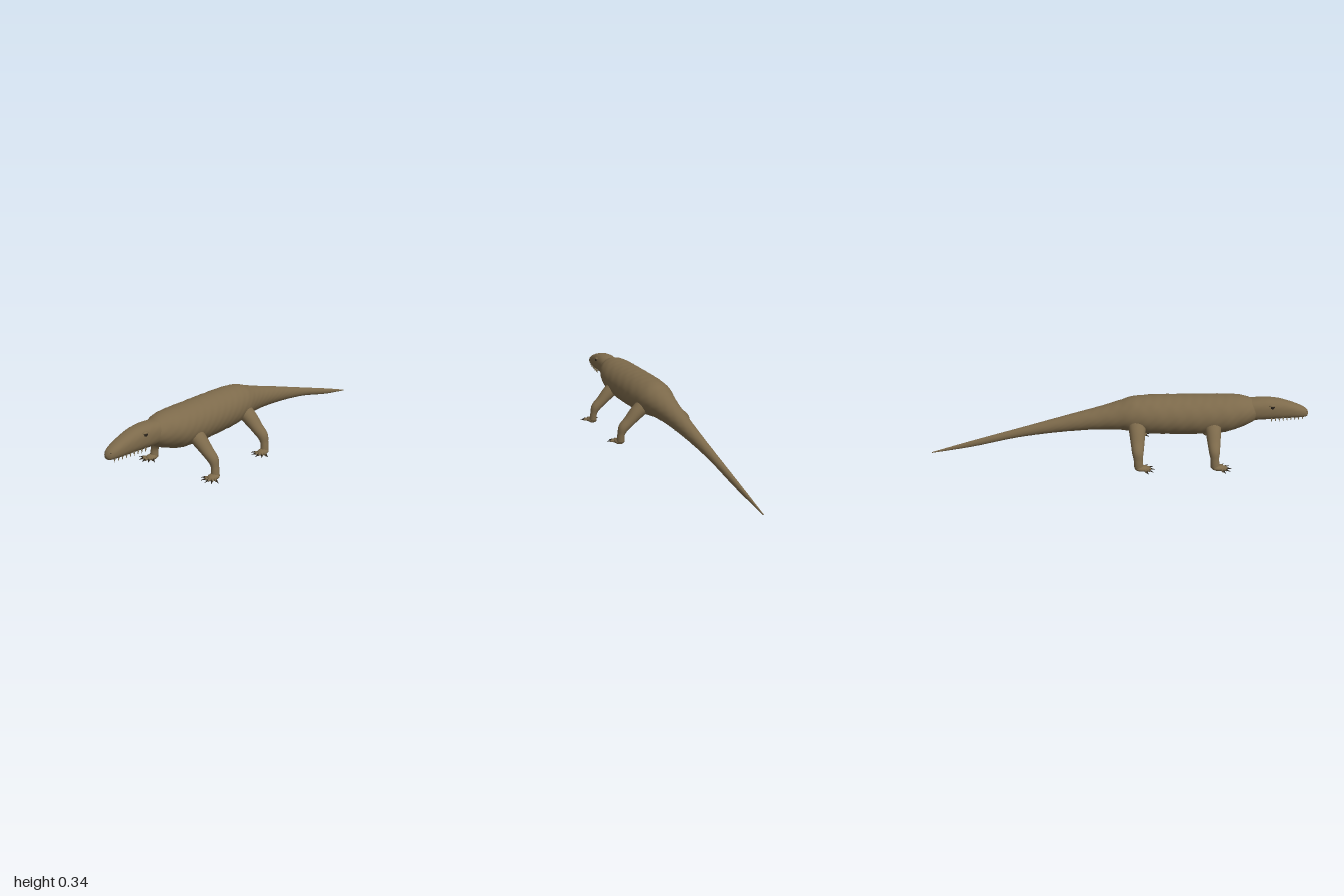
import * as THREE from 'three';

const V = (x, y, z) => new THREE.Vector3(x, y, z);

const skin = new THREE.MeshStandardMaterial({ color: 0x7d6a4b });
skin.name = 'olive brown skin';
const claw = new THREE.MeshStandardMaterial({ color: 0x28221a });
claw.name = 'dark claw';
const tooth = new THREE.MeshStandardMaterial({ color: 0x8f8163 });
tooth.name = 'dull tooth';

function add(parent, name, geometry, material) {
  const mesh = new THREE.Mesh(geometry, material);
  mesh.name = name;
  parent.add(mesh);
  return mesh;
}

// Closed skin over rings; each ring is a function of the angle, with caps at both ends
function loft(rings, sides, ends) {
  const pos = [], index = [];
  for (const ring of rings) {
    for (let j = 0; j < sides; j++) pos.push(...ring((j / sides) * Math.PI * 2).toArray());
  }
  for (let i = 0; i < rings.length - 1; i++) {
    for (let j = 0; j < sides; j++) {
      const k = (j + 1) % sides;
      const a = i * sides + j, b = i * sides + k, c = a + sides, d = b + sides;
      index.push(a, b, c, b, d, c);
    }
  }
  const first = rings.length * sides, last = first - sides;
  pos.push(...ends[0].toArray(), ...ends[1].toArray());
  for (let j = 0; j < sides; j++) {
    const k = (j + 1) % sides;
    index.push(first, k, j, first + 1, last + j, last + k);
  }
  const g = new THREE.BufferGeometry();
  g.setAttribute('position', new THREE.Float32BufferAttribute(pos, 3));
  g.setIndex(index);
  g.computeVertexNormals();
  return g;
}

// Smooth value between profile rows [z, ...values] at z (monotone-safe cubic)
function sample(rows, z, col) {
  let i = 0;
  while (i < rows.length - 2 && z > rows[i + 1][0]) i++;
  const slope = (k) => {
    if (k === 0 || k === rows.length - 1) return null;
    const l = (rows[k][col] - rows[k - 1][col]) / (rows[k][0] - rows[k - 1][0]);
    const r = (rows[k + 1][col] - rows[k][col]) / (rows[k + 1][0] - rows[k][0]);
    return l * r <= 0 ? 0 : (2 * l * r) / (l + r);
  };
  const h = rows[i + 1][0] - rows[i][0], t = (z - rows[i][0]) / h;
  const p = rows[i][col], q = rows[i + 1][col], m = (q - p) / h;
  const a = slope(i) ?? m, b = slope(i + 1) ?? m;
  return p * (1 + 2 * t) * (1 - t) ** 2 + h * a * t * (1 - t) ** 2
    + q * t * t * (3 - 2 * t) + h * b * t * t * (t - 1);
}

// Body of rows [z, top, bottom, half width]; power below 1 squares the section
function profileLoft(rows, steps, power, bump) {
  const z0 = rows[0][0], z1 = rows[rows.length - 1][0], rings = [];
  const soft = (v) => Math.sign(v) * Math.abs(v) ** power;
  const mid = (z) => (sample(rows, z, 1) + sample(rows, z, 2)) / 2;
  for (let i = 0; i <= steps; i++) {
    const z = z0 + ((z1 - z0) * i) / steps;
    const h = (sample(rows, z, 1) - sample(rows, z, 2)) / 2, w = sample(rows, z, 3);
    rings.push((a) => {
      const s = 1 + bump * Math.sin(z * 95 + 3 * Math.sin(a * 2)) * Math.sin(a * 7 + z * 23);
      return V(w * s * soft(Math.cos(a)), mid(z) + h * s * soft(Math.sin(a)), z);
    });
  }
  return loft(rings, 40, [V(0, mid(z0), z0), V(0, mid(z1), z1)]);
}

// Limb in the xy plane: rows [x, y, z, radius across, radius along z]
function limb(rows, side) {
  const path = new THREE.CatmullRomCurve3(rows.map((r) => V(r[0] * side, r[1], r[2])));
  const size = new THREE.CatmullRomCurve3(rows.map((r) => V(r[3], r[4], 0)));
  const rings = [];
  for (let i = 0; i <= 28; i++) {
    const t = i / 28, c = path.getPoint(t), r = size.getPoint(t);
    const tan = path.getTangent(t).setZ(0).normalize();
    const v = V(0, 0, 1), u = v.clone().cross(tan);
    rings.push((a) => c.clone().addScaledVector(u, r.x * Math.cos(a)).addScaledVector(v, r.y * Math.sin(a)));
  }
  return loft(rings, 20, [path.getPoint(0), path.getPoint(1)]);
}

// Tapered rod from one point to another
function rod(parent, name, from, to, r0, r1, material) {
  const d = to.clone().sub(from);
  const mesh = add(parent, name, new THREE.CylinderGeometry(r1, r0, d.length(), 8), material);
  mesh.position.copy(from).addScaledVector(d, 0.5);
  mesh.quaternion.setFromUnitVectors(V(0, 1, 0), d.normalize());
  return mesh;
}

function ball(parent, name, center, size, material) {
  const g = new THREE.SphereGeometry(1, 18, 12).scale(...size);
  const mesh = add(parent, name, g, material);
  mesh.position.copy(center);
  return mesh;
}

function leg(name, z, side, k) {
  const g = new THREE.Group();
  g.name = name;
  add(g, name + 'Limb', limb([
    [0.06, 0.205, z, 0.036 * k, 0.047 * k],
    [0.105, 0.168, z, 0.035 * k, 0.04 * k],
    [0.15, 0.125, z, 0.028 * k, 0.033 * k],
    [0.184, 0.092, z, 0.026 * k, 0.028 * k],
    [0.197, 0.055, z + 0.002, 0.018 * k, 0.022 * k],
    [0.2, 0.015, z + 0.006, 0.021, 0.024],
  ], side), skin);
  ball(g, name + 'Foot', V(0.201 * side, 0.015, z + 0.02), [0.026, 0.015, 0.036], skin);
  // Five spread toes with claws
  for (let i = -2; i <= 2; i++) {
    const a = i * 0.56;
    const at = (d, y) => V((0.205 + Math.sin(a) * d) * side, y, z + 0.028 + Math.cos(a) * d);
    rod(g, 'toe', at(0.005, 0.013), at(0.036, 0.012), 0.009, 0.006, skin);
    ball(g, 'toeTip', at(0.036, 0.012), [0.0065, 0.0065, 0.0065], skin);
    rod(g, 'claw', at(0.036, 0.014), at(0.061, 0.009), 0.005, 0.0006, claw);
  }
  return g;
}

export function createModel() {
  const model = new THREE.Group();
  model.name = 'lizard';

  // Tail and trunk in one skin
  add(model, 'bodyAndTail', profileLoft([
    [-1, 0.015, 0.01, 0.002],
    [-0.8, 0.075, 0.043, 0.011],
    [-0.5, 0.16, 0.107, 0.024],
    [-0.25, 0.231, 0.138, 0.043],
    [-0.1, 0.272, 0.148, 0.06],
    [0, 0.302, 0.149, 0.079],
    [0.08, 0.326, 0.138, 0.097],
    [0.2, 0.333, 0.126, 0.108],
    [0.4, 0.334, 0.123, 0.11],
    [0.55, 0.334, 0.132, 0.107],
    [0.63, 0.331, 0.155, 0.093],
    [0.69, 0.316, 0.18, 0.07],
    [0.74, 0.29, 0.21, 0.042],
  ], 150, 1, 0.01), skin);

  // Head tapering to a blunt snout
  add(model, 'head', profileLoft([
    [0.62, 0.305, 0.2, 0.055],
    [0.7, 0.314, 0.198, 0.058],
    [0.76, 0.318, 0.2, 0.057],
    [0.82, 0.314, 0.203, 0.053],
    [0.9, 0.294, 0.206, 0.043],
    [0.95, 0.275, 0.208, 0.036],
    [0.98, 0.26, 0.21, 0.027],
    [0.995, 0.247, 0.214, 0.017],
    [1, 0.236, 0.224, 0.006],
  ], 70, 0.85, 0.006), skin);

  for (const side of [1, -1]) {
    const label = side > 0 ? 'left' : 'right';
    // Eyes under small brow ridges
    ball(model, label + 'Eye', V(0.05 * side, 0.283, 0.8), [0.008, 0.009, 0.011], claw);
    ball(model, label + 'Brow', V(0.047 * side, 0.291, 0.798), [0.01, 0.006, 0.018], skin);
    ball(model, label + 'Nostril', V(0.017 * side, 0.245, 0.985), [0.004, 0.004, 0.005], claw);
    // Row of teeth hanging along the jaw
    for (let i = 0; i < 9; i++) {
      const z = 0.8 + i * 0.021, x = (0.046 - i * 0.0033) * side;
      rod(model, 'tooth', V(x, 0.218, z), V(x, 0.198, z + 0.002), 0.0045, 0.0006, tooth);
    }
    model.add(leg(label + 'FrontLeg', 0.49, side, 1));
    model.add(leg(label + 'HindLeg', 0.095, side, 1.05));
  }
  return model;
}
